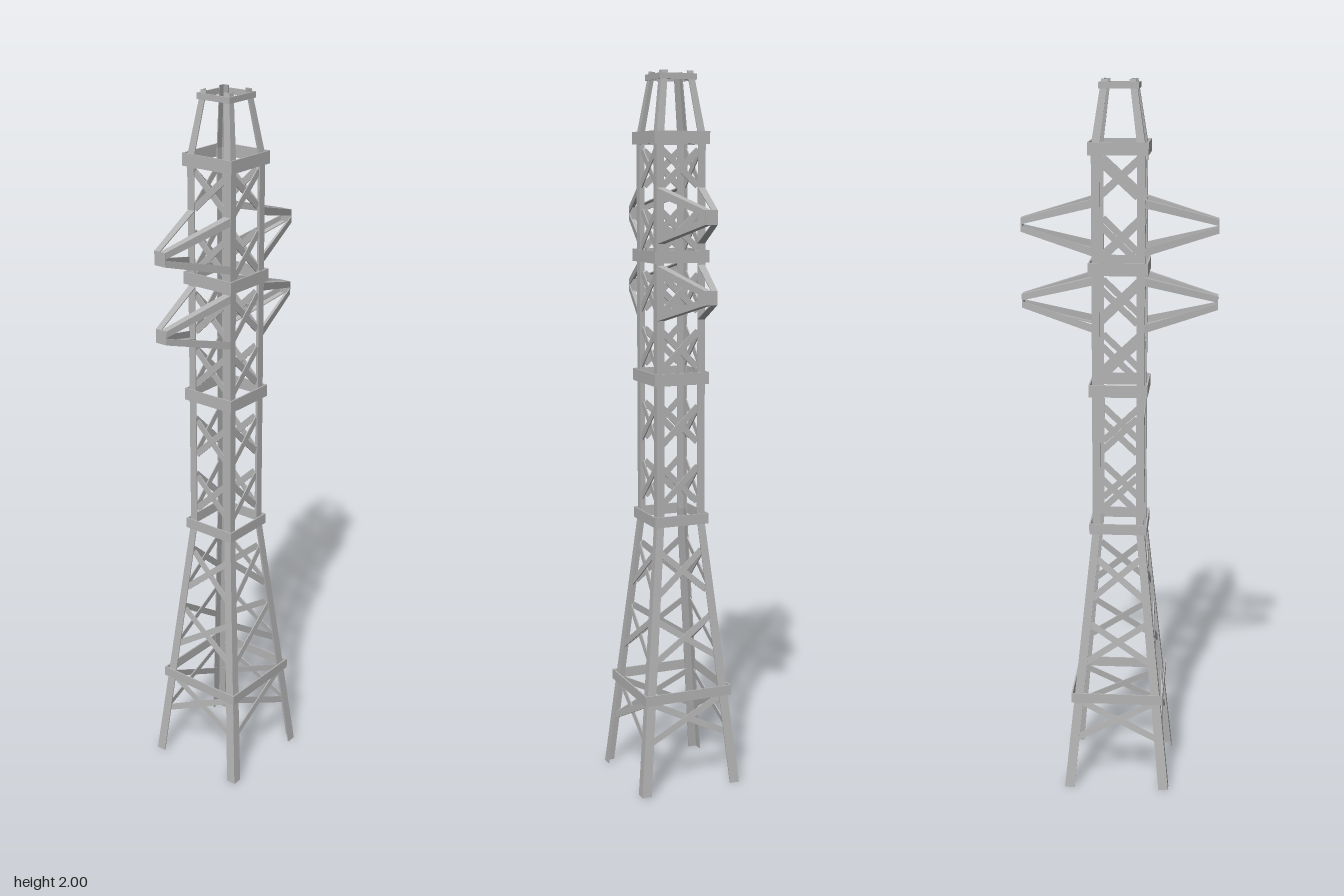
import * as THREE from 'three';

const steel = new THREE.MeshStandardMaterial({ color: 0xb4b4b4, side: THREE.DoubleSide });
steel.name = 'galvanised steel';

// Leg profile: height, outer corner offset, flange width
const PROFILE = [[0, 0.15, 0.028], [0.77, 0.072, 0.022], [1.83, 0.072, 0.022], [2, 0.046, 0.018]];

function outer(y) {
  for (let i = 1; i < PROFILE.length; i++) {
    const [y0, o0] = PROFILE[i - 1], [y1, o1] = PROFILE[i];
    if (y <= y1) return o0 + (o1 - o0) * (y - y0) / (y1 - y0);
  }
  return PROFILE.at(-1)[1];
}

// L-shaped section: corner at the origin, flanges along +u and +v
function angleSection(s, t = 0.003) {
  return [[0, 0], [s, 0], [s, t], [t, t], [t, s], [0, s]];
}

// Joins matching rings of Vector3 into a faceted bar with end caps
function loft(rings) {
  const pos = [], n = rings[0].length;
  const tri = (...pts) => pts.forEach(p => pos.push(p.x, p.y, p.z));
  for (let r = 0; r + 1 < rings.length; r++) {
    const a = rings[r], b = rings[r + 1];
    for (let i = 0; i < n; i++) {
      const j = (i + 1) % n;
      tri(a[i], b[i], b[j]);
      tri(a[i], b[j], a[j]);
    }
  }
  const last = rings.at(-1);
  for (let i = 1; i + 1 < n; i++) {
    tri(rings[0][0], rings[0][i], rings[0][i + 1]);
    tri(last[0], last[i + 1], last[i]);
  }
  const g = new THREE.BufferGeometry();
  g.setAttribute('position', new THREE.Float32BufferAttribute(pos, 3));
  g.computeVertexNormals();
  return g;
}

function add(parent, geometry, name) {
  const m = new THREE.Mesh(geometry, steel);
  m.name = name;
  parent.add(m);
  return m;
}

// Flat strip from a to b lying in the plane with the given normal
function strip(parent, a, b, normal, width, name) {
  const dir = b.clone().sub(a), len = dir.length();
  dir.normalize();
  const up = normal.clone().cross(dir).normalize();
  const m = add(parent, new THREE.BoxGeometry(len, width, 0.003), name);
  m.quaternion.setFromRotationMatrix(new THREE.Matrix4().makeBasis(dir, up, dir.clone().cross(up)));
  m.position.copy(a).add(b).multiplyScalar(0.5);
}

// Crossed braces: bottom and top height of each X
const BRACES = [
  [0.145, 0.262], [0.37, 0.495], [0.56, 0.685], [0.815, 0.925], [0.985, 1.095],
  [1.195, 1.305], [1.35, 1.46], [1.52, 1.63], [1.69, 1.795],
];

// Collars: centre height, half width, depth of band
const COLLARS = [
  [0.274, 0.131, 0.029], [0.771, 0.081, 0.03], [1.17, 0.081, 0.034],
  [1.505, 0.081, 0.034], [1.823, 0.081, 0.034], [1.984, 0.054, 0.016],
];

// One side of the tower: a leg, its crossed braces and its collar strips
function createSide() {
  const side = new THREE.Group();
  add(side, loft(PROFILE.map(([y, o, s]) =>
    angleSection(s).map(([u, v]) => new THREE.Vector3(o - u, y, o - v)))), 'leg');

  for (const [y0, y1] of BRACES) {
    const z0 = outer(y0), z1 = outer(y1);
    const normal = new THREE.Vector3(0, z0 - z1, y1 - y0).normalize();
    for (const s of [-1, 1]) {
      const inset = s > 0 ? 0.005 : 0.008;
      strip(side,
        new THREE.Vector3(-s * (z0 - 0.02), y0 + 0.005, z0 - inset),
        new THREE.Vector3(s * (z1 - 0.02), y1 - 0.005, z1 - inset),
        normal, 0.018, 'crossBrace');
    }
  }

  for (const [y, half, h] of COLLARS) {
    const band = add(side, new THREE.BoxGeometry(half * 2, h, 0.004), 'collarBand');
    band.position.set(0, y, half - 0.002);
  }
  return side;
}

// Pointed cross-arm of four angle bars reaching along +z
function createArm(yMid) {
  const arm = new THREE.Group();
  const root = { x: 0.071, y: 0.075, z: 0.072, s: 0.022 };
  const tip = { x: 0.018, y: 0.019, z: 0.268, s: 0.0175 };
  for (const sx of [-1, 1]) {
    for (const sy of [-1, 1]) {
      const rings = [root, tip].map(e => angleSection(e.s).map(([u, v]) =>
        new THREE.Vector3(sx * (e.x - u), yMid + sy * (e.y - v), e.z)));
      add(arm, loft(rings), sy > 0 ? 'upperArmBar' : 'lowerArmBar');
    }
  }
  const cap = add(arm, new THREE.BoxGeometry(0.036, 0.038, 0.004), 'armTip');
  cap.position.set(0, yMid, 0.267);
  return arm;
}

export function createModel() {
  const tower = new THREE.Group();
  tower.name = 'latticeTower';

  for (let i = 0; i < 4; i++) {
    const side = createSide();
    side.name = 'towerSide';
    side.rotation.y = i * Math.PI / 2;
    tower.add(side);
  }

  for (const y of [1.407, 1.615]) {
    for (const turn of [0, Math.PI]) {
      const arm = createArm(y);
      arm.name = 'crossArm';
      arm.rotation.y = turn;
      tower.add(arm);
    }
  }
  return tower;
}
